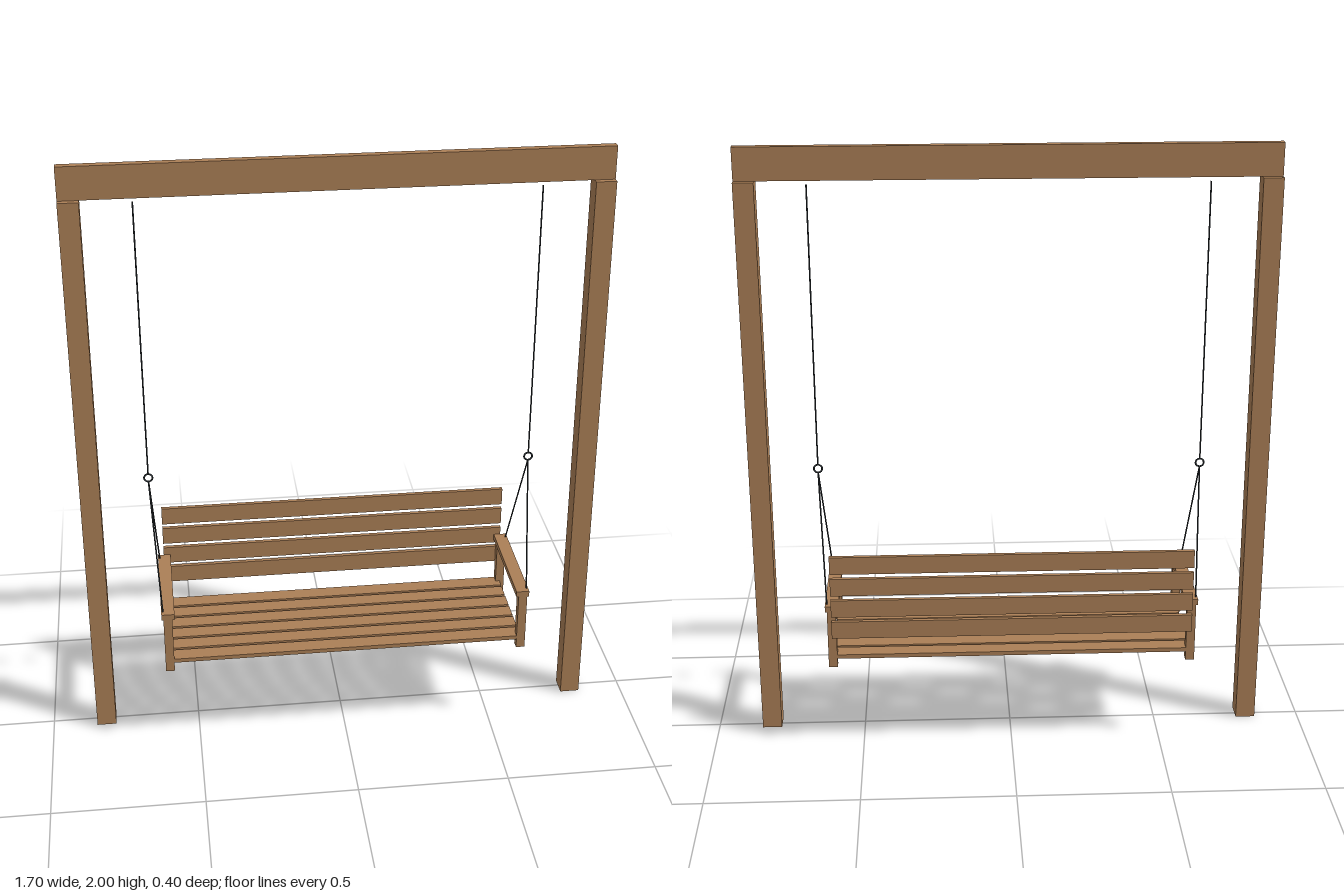
import * as THREE from 'three';

const wood = new THREE.MeshStandardMaterial({ color: 0xab7f56 });
wood.name = 'warm wood';
const steel = new THREE.MeshStandardMaterial({ color: 0x30363a });
steel.name = 'dark steel';

// Box given by its extents on each axis
function plank(parent, name, [x0, x1], [y0, y1], [z0, z1]) {
  const mesh = new THREE.Mesh(new THREE.BoxGeometry(x1 - x0, y1 - y0, z1 - z0), wood);
  mesh.position.set((x0 + x1) / 2, (y0 + y1) / 2, (z0 + z1) / 2);
  mesh.name = name;
  parent.add(mesh);
}

// Thin cable between two points
function cable(parent, name, from, to) {
  const path = new THREE.LineCurve3(new THREE.Vector3(...from), new THREE.Vector3(...to));
  const mesh = new THREE.Mesh(new THREE.TubeGeometry(path, 1, 0.0025, 8), steel);
  mesh.name = name;
  parent.add(mesh);
}

const sideRange = (s, a, b) => (s > 0 ? [a, b] : [-b, -a]);

export function createModel() {
  const model = new THREE.Group();
  model.name = 'porchSwing';
  const frame = new THREE.Group();
  frame.name = 'frame';
  const bench = new THREE.Group();
  bench.name = 'bench';
  const hangers = new THREE.Group();
  hangers.name = 'hangers';
  model.add(frame, bench, hangers);

  const midZ = 0.007;

  // Overhead beam
  plank(frame, 'topBeam', [-0.851, 0.851], [1.894, 2], [midZ - 0.013, midZ + 0.013]);

  for (const s of [1, -1]) {
    const side = s > 0 ? 'left' : 'right';

    // Post, armrest and its two legs
    plank(frame, side + 'Post', sideRange(s, 0.786, 0.851), [0, 1.894], [midZ - 0.033, midZ + 0.033]);
    plank(bench, side + 'Armrest', sideRange(s, 0.568, 0.611), [0.512, 0.532], [-0.186, 0.198]);
    plank(bench, side + 'FrontLeg', sideRange(s, 0.576, 0.605), [0.312, 0.512], [0.17, 0.198]);
    plank(bench, side + 'BackLeg', sideRange(s, 0.576, 0.605), [0.312, 0.512], [-0.186, -0.158]);

    // Ring with one cable up and two down to the armrest
    const ringY = 0.94, x = s * 0.628;
    const ring = new THREE.Mesh(new THREE.TorusGeometry(0.0135, 0.003, 8, 24), steel);
    ring.position.set(x, ringY, midZ);
    ring.name = side + 'Ring';
    hangers.add(ring);
    cable(hangers, side + 'UpperCable', [x, ringY + 0.013, midZ], [x, 1.88, midZ]);
    cable(hangers, side + 'FrontCable', [x, ringY - 0.013, midZ], [s * 0.605, 0.525, 0.18]);
    cable(hangers, side + 'BackCable', [x, ringY - 0.013, midZ], [s * 0.605, 0.525, -0.168]);
  }

  // Seat slats
  for (let i = 0; i < 6; i++) {
    const z = 0.168 - i * 0.0652;
    plank(bench, 'seatSlat' + (i + 1), [-0.59, 0.59], [0.342, 0.356], [z - 0.0275, z + 0.0275]);
  }

  // Backrest slats
  for (let i = 0; i < 4; i++) {
    const y = 0.453 + i * 0.0765;
    plank(bench, 'backSlat' + (i + 1), [-0.591, 0.591], [y - 0.03, y + 0.03], [-0.2, -0.186]);
  }

  return model;
}
